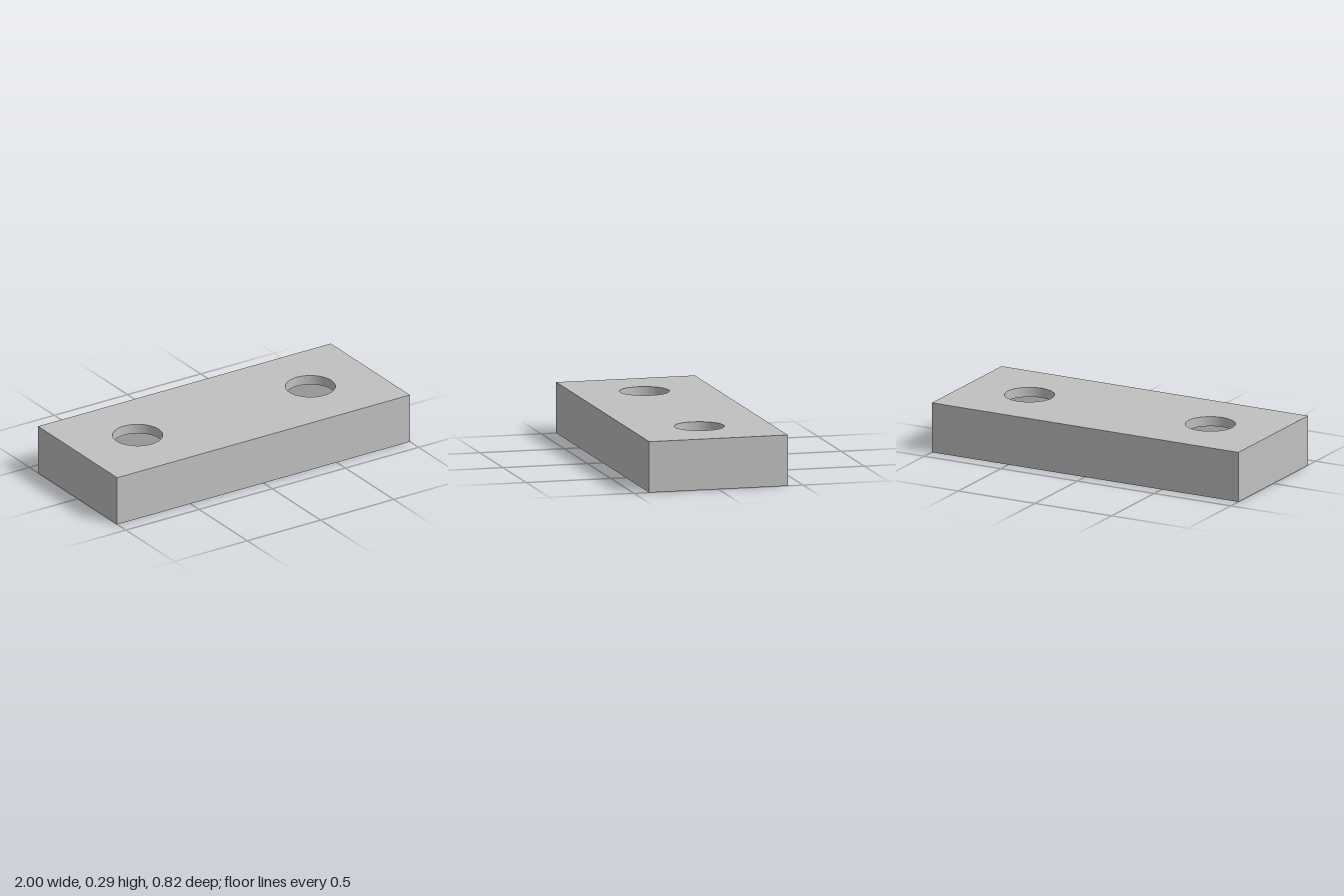
import * as THREE from 'three';

const LENGTH = 2, HEIGHT = 0.295, DEPTH = 0.82;
const HOLE_X = 0.59;
const BORE_R = 0.143, HEX_R = 0.295, RECESS_R = 0.313;
const LEDGE_Y = 0.05, CEILING_Y = 0.238;
const ROUND = 64;

// Regular polygon, first corner on the z axis
const polygon = (radius, sides, cx = 0) =>
  Array.from({ length: sides }, (_, i) => {
    const a = (i / sides) * Math.PI * 2;
    return new THREE.Vector2(cx + Math.sin(a) * radius, Math.cos(a) * radius);
  });

// Horizontal face with holes, facing up or down
function flatFace(outline, holes, y, up) {
  const shape = new THREE.Shape(outline);
  shape.holes = holes.map((points) => new THREE.Path(points));
  const geometry = new THREE.ShapeGeometry(shape);
  geometry.rotateX(up ? -Math.PI / 2 : Math.PI / 2);
  return geometry.translate(0, y, 0);
}

// Inward-facing wall of a round or hexagonal hole
function holeWall(radius, sides, y0, y1) {
  let geometry = new THREE.CylinderGeometry(radius, radius, y1 - y0, sides, 1, true);
  geometry.scale(-1, 1, 1);
  geometry.translate(0, (y0 + y1) / 2, 0);
  // Mirroring turns the triangles inward
  const index = geometry.index.array;
  const position = geometry.attributes.position;
  const [a, b, c] = [0, 1, 2].map((k) => new THREE.Vector3().fromBufferAttribute(position, index[k]));
  const faceNormal = b.clone().sub(a).cross(c.clone().sub(a));
  if (faceNormal.dot(new THREE.Vector3(a.x + b.x + c.x, 0, a.z + b.z + c.z)) > 0) {
    for (let i = 0; i < index.length; i += 3) [index[i], index[i + 1]] = [index[i + 1], index[i]];
  }
  if (sides <= 6) {
    geometry = geometry.toNonIndexed();
    geometry.computeVertexNormals();
  } else {
    const normal = geometry.attributes.normal;
    for (let i = 0; i < normal.array.length; i++) normal.array[i] *= -1;
  }
  return geometry;
}

export function createModel() {
  const model = new THREE.Group();
  model.name = 'mountingBlock';
  const grey = new THREE.MeshStandardMaterial({ color: 0xc0c0c0 });
  grey.name = 'light grey';

  const add = (parent, name, geometry) => {
    const mesh = new THREE.Mesh(geometry, grey);
    mesh.name = name;
    parent.add(mesh);
  };

  // Four outer sides: a box without its top and bottom
  const sides = new THREE.BoxGeometry(LENGTH, HEIGHT, DEPTH);
  const index = Array.from(sides.index.array);
  sides.setIndex([...index.slice(0, 12), ...index.slice(24)]);
  sides.clearGroups();
  sides.translate(0, HEIGHT / 2, 0);
  add(model, 'outerSides', sides);

  // Top and bottom faces, pierced by both holes
  const x = LENGTH / 2, z = DEPTH / 2;
  const outline = [[-x, -z], [x, -z], [x, z], [-x, z]].map((p) => new THREE.Vector2(...p));
  const pair = (radius) => [-HOLE_X, HOLE_X].map((cx) => polygon(radius, ROUND, cx));
  add(model, 'topFace', flatFace(outline, pair(BORE_R), HEIGHT, true));
  add(model, 'bottomFace', flatFace(outline, pair(RECESS_R), 0, false));

  // Stepped holes: shallow round recess, hexagonal nut pocket, round bore
  for (const side of [-1, 1]) {
    const hole = new THREE.Group();
    hole.name = side > 0 ? 'leftHole' : 'rightHole';
    hole.position.x = side * HOLE_X;
    add(hole, 'recessWall', holeWall(RECESS_R, ROUND, 0, LEDGE_Y));
    add(hole, 'recessLedge', flatFace(polygon(RECESS_R, ROUND), [polygon(HEX_R, 6)], LEDGE_Y, false));
    add(hole, 'nutPocketWall', holeWall(HEX_R, 6, LEDGE_Y, CEILING_Y));
    add(hole, 'nutPocketCeiling', flatFace(polygon(HEX_R, 6), [polygon(BORE_R, ROUND)], CEILING_Y, false));
    add(hole, 'boreWall', holeWall(BORE_R, ROUND, CEILING_Y, HEIGHT));
    model.add(hole);
  }
  return model;
}
